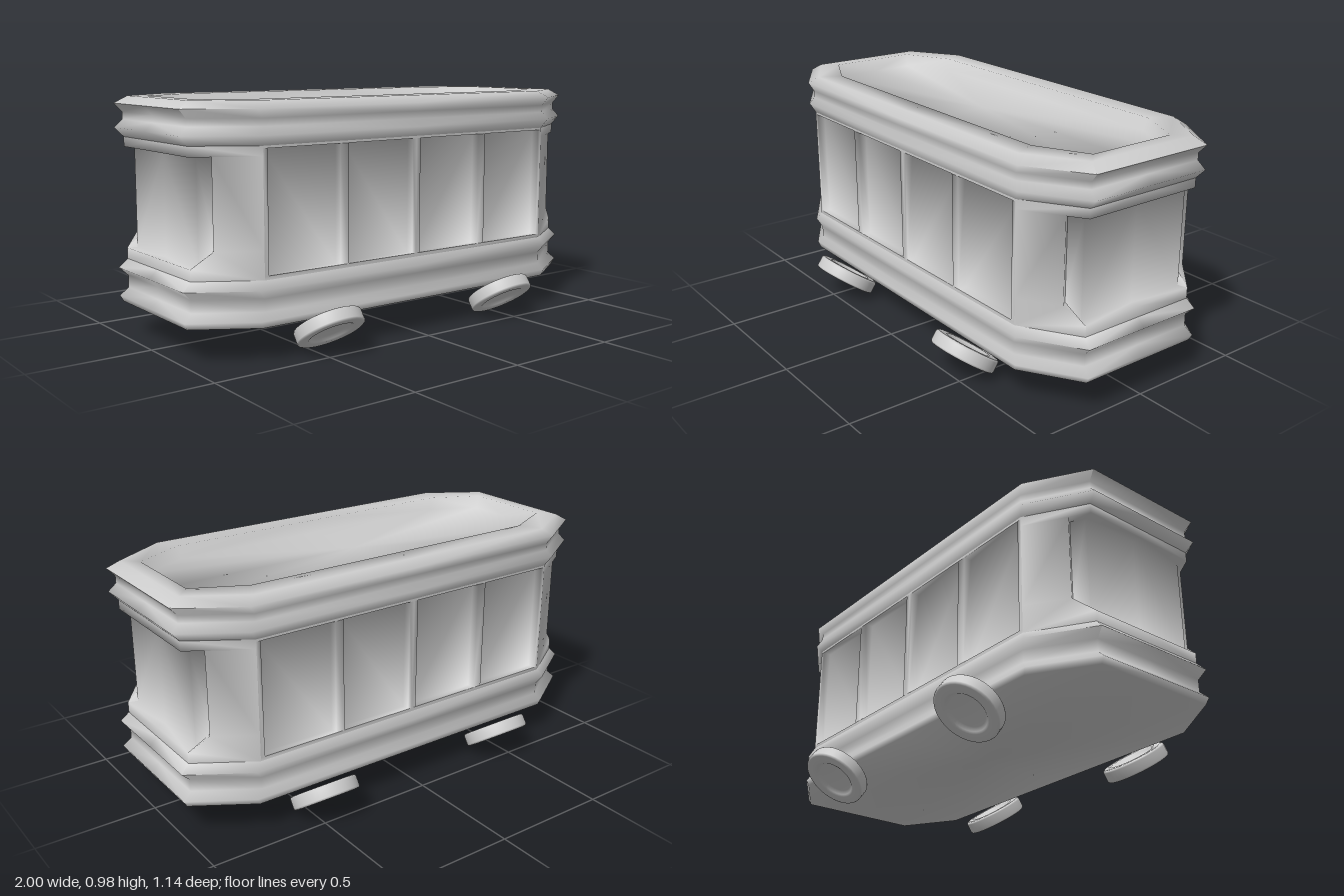
import * as THREE from 'three';
import { toCreasedNormals } from 'three/addons/utils/BufferGeometryUtils.js';

const material = new THREE.MeshStandardMaterial({ color: 0xcccccc });

// Collects faces of the +x +z quarter and mirrors them into the other three
function quarterBuilder() {
  const pos = [];
  const tri = (a, b, c) => {
    const area = new THREE.Triangle(a, b, c).getArea();
    if (area < 1e-7) return;
    for (const [sx, sz] of [[1, 1], [-1, 1], [-1, -1], [1, -1]]) {
      const order = sx * sz > 0 ? [a, b, c] : [a, c, b];
      for (const p of order) pos.push(p.x * sx, p.y, p.z * sz);
    }
  };
  return {
    face(...pts) {
      const v = pts.map((p) => new THREE.Vector3(...p));
      for (let i = 1; i < v.length - 1; i++) tri(v[0], v[i], v[i + 1]);
    },
    // wide crease angle: shading flows softly over the edges
    mesh(name) {
      const g = new THREE.BufferGeometry();
      g.setAttribute('position', new THREE.Float32BufferAttribute(pos, 3));
      const m = new THREE.Mesh(toCreasedNormals(g, 1.7), material);
      m.name = name;
      return m;
    },
  };
}

// Quarter of an elongated octagon with half sizes hx, hz at height y
const ring = ([y, hx, hz = 0.43 * hx]) => [
  [0, y, hz], [0.76 * hx, y, hz], [hx, y, 0.65 * hz], [hx, y, 0],
];

function loft(name, profile) {
  const b = quarterBuilder();
  const rings = profile.map(ring);
  for (let j = 0; j < rings.length - 1; j++) {
    for (let i = 0; i < 3; i++) {
      b.face(rings[j][i], rings[j][i + 1], rings[j + 1][i + 1], rings[j + 1][i]);
    }
  }
  return b.mesh(name);
}

const WALL = 0.965, Y0 = 0.32, Y1 = 0.82;

function buildWalls() {
  const b = quarterBuilder();
  const z = 0.43 * WALL, x1 = 0.76 * WALL, x2 = WALL, z2 = 0.65 * z;

  // side wall with two shallow recessed panels per quarter
  const wy0 = 0.335, wy1 = 0.81, zi = z - 0.035;
  const quad = (xa, xb, ya, yb, zz = z) =>
    b.face([xa, ya, zz], [xb, ya, zz], [xb, yb, zz], [xa, yb, zz]);
  quad(0, x1, Y0, wy0);
  quad(0, x1, wy1, Y1);
  for (const [xa, xb] of [[0, 0.02], [0.345, 0.385], [0.715, x1]]) quad(xa, xb, wy0, wy1);
  for (const [xa, xb] of [[0.02, 0.345], [0.385, 0.715]]) {
    quad(xa, xb, wy0, wy1, zi);
    b.face([xa, wy0, z], [xa, wy0, zi], [xa, wy1, zi], [xa, wy1, z]);
    b.face([xb, wy0, zi], [xb, wy0, z], [xb, wy1, z], [xb, wy1, zi]);
    b.face([xa, wy0, z], [xb, wy0, z], [xb, wy0, zi], [xa, wy0, zi]);
    b.face([xa, wy1, zi], [xb, wy1, zi], [xb, wy1, z], [xa, wy1, z]);
  }

  // slanted corner wall, cut away where the end opening wraps round it
  const sill = 0.365, mid = 0.43, head = 0.78;
  const xo = 0.892, zo = z2 + (x2 - xo) * (z - z2) / (x2 - x1);
  const P = (y) => [x1, y, z], Q = (y) => [x2, y, z2], O = (y) => [xo, y, zo];
  b.face(P(Y0), Q(Y0), Q(sill), O(mid), P(mid));
  b.face(P(mid), O(mid), O(head), P(head));
  b.face(P(head), Q(head), Q(Y1), P(Y1));

  // end wall above and below the opening
  const C = (y, x = x2) => [x, y, 0];
  b.face(Q(Y0), C(Y0), C(sill), Q(sill));
  b.face(Q(head), C(head), C(Y1), Q(Y1));

  // end recess: shallow panel that follows the corner, with sill, jamb and ceiling
  const xp = 0.925;
  const R = (y) => [xp, y, 0.258], S = (y) => [0.87, y, 0.288];
  b.face(R(sill), C(sill, xp), C(head, xp), R(head));
  b.face(S(mid), R(sill), R(head), S(head));
  b.face(Q(sill), C(sill), C(sill, xp), R(sill));
  b.face(Q(sill), R(sill), S(mid), O(mid));
  b.face(O(mid), S(mid), S(head), O(head));
  b.face(R(head), C(head, xp), C(head), Q(head));
  b.face(S(head), R(head), Q(head), O(head));
  return b.mesh('walls');
}

function buildWheel() {
  // half section of the tyre with a dished hub on both faces
  const half = [[0, 0.012], [0.075, 0.012], [0.088, 0.024], [0.098, 0.0285],
    [0.131, 0.0285], [0.137, 0.026], [0.14, 0.02]];
  const profile = [
    ...half.map(([r, y]) => new THREE.Vector2(r, -y)),
    ...half.slice().reverse().map(([r, y]) => new THREE.Vector2(r, y)),
  ];
  return new THREE.LatheGeometry(profile, 40);
}

export function createModel() {
  const model = new THREE.Group();
  model.name = 'tramCar';

  // floor and lower double moulding
  model.add(loft('lowerMoulding', [
    [0.142, 0], [0.142, 0.985], [0.168, 1], [0.2, WALL], [0.25, WALL],
    [0.285, 1], [Y0, WALL],
  ]));

  model.add(buildWalls());

  // upper double moulding, rim and shallow sunken roof
  model.add(loft('upperMouldingAndRoof', [
    [Y1, WALL], [0.858, 1], [0.89, 0.968], [0.92, 0.968], [0.955, 1],
    [0.984, 0.95, 0.395], [0.984, 0.89, 0.3], [0.93, 0.875, 0.29], [0.93, 0, 0],
  ]));

  // four wheels tilted flat, outer faces down and outward
  const wheelGeometry = buildWheel();
  for (const sx of [-1, 1]) {
    for (const sz of [-1, 1]) {
      const wheel = new THREE.Mesh(wheelGeometry, material);
      wheel.name = `${sz > 0 ? 'front' : 'back'}${sx > 0 ? 'Left' : 'Right'}Wheel`;
      wheel.position.set(sx * 0.4625, 0.104, sz * 0.445);
      wheel.rotation.x = -sz * 0.624;
      model.add(wheel);
    }
  }
  return model;
}
